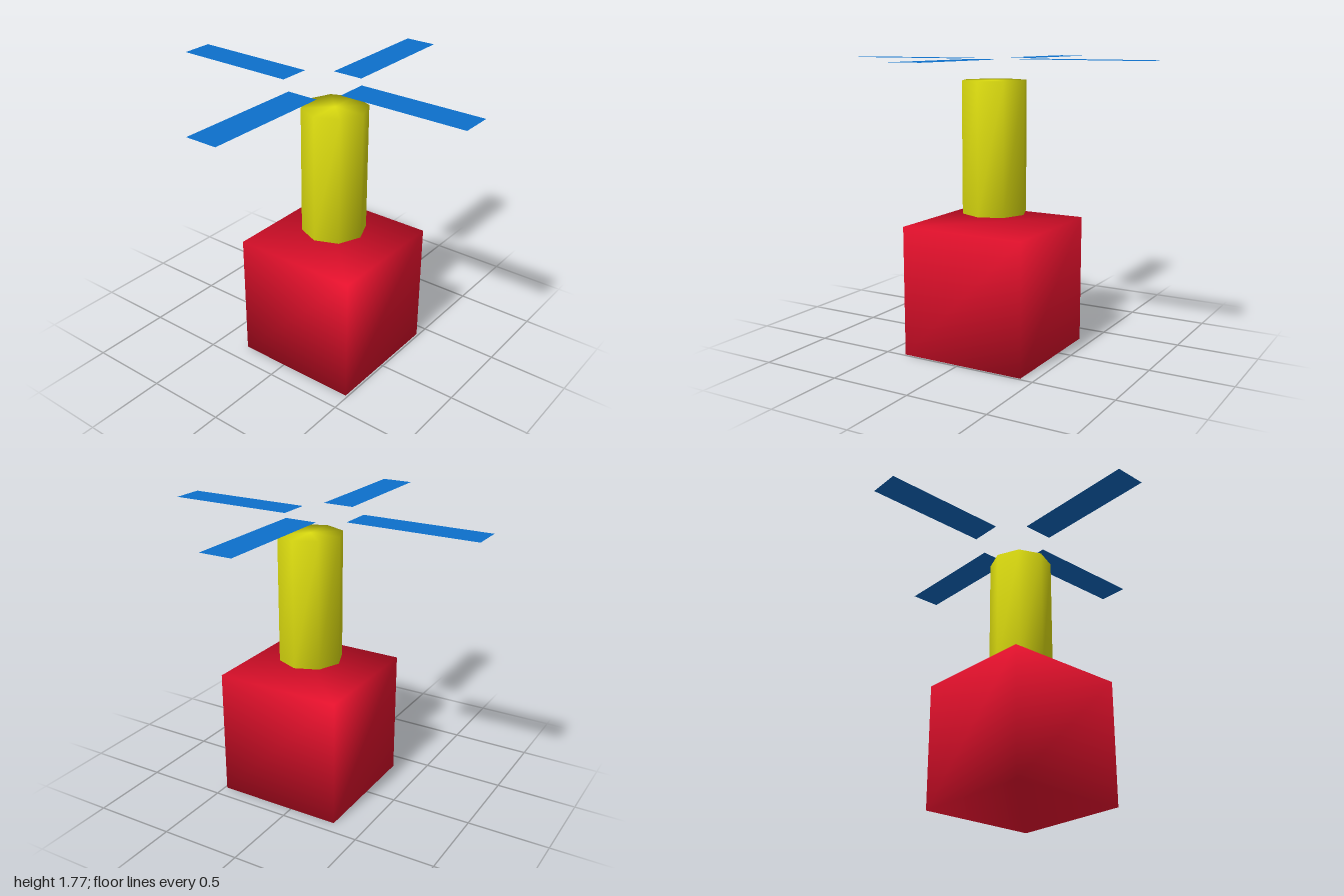
import * as THREE from 'three';
import { mergeVertices } from 'three/addons/utils/BufferGeometryUtils.js';

// Weld corners so normals blend across the edges
function welded(geometry) {
  geometry.deleteAttribute('normal');
  geometry.deleteAttribute('uv');
  const g = mergeVertices(geometry, 1e-4);
  g.computeVertexNormals();
  return g;
}

export function createModel() {
  const model = new THREE.Group();
  const add = (name, geometry, material, x, y, z) => {
    const mesh = new THREE.Mesh(geometry, material);
    mesh.name = name;
    mesh.position.set(x, y, z);
    model.add(mesh);
    return mesh;
  };
  const red = new THREE.MeshStandardMaterial({ color: 0xe8112d });
  const yellow = new THREE.MeshStandardMaterial({ color: 0xe0e010 });
  const blue = new THREE.MeshStandardMaterial({ color: 0x0d70cc, side: THREE.DoubleSide });

  // Cube body
  const size = 0.792;
  add('body', welded(new THREE.BoxGeometry(size, size, size)), red, 0.02, size / 2, 0.09);

  // Eight-sided mast floating above the body
  add('mast', welded(new THREE.CylinderGeometry(0.198, 0.198, 0.792, 8)), yellow, 0.02, 1.25, 0.09);

  // Four flat rotor blades at one height
  const length = 0.792, width = 0.198, height = 1.77;
  const blades = [
    ['leftBlade', length, width, 0.604, 0.036],
    ['rightBlade', length, width, -0.604, 0.036],
    ['frontBlade', width, length, 0.02, 0.598],
    ['backBlade', width, length, 0.02, -0.604],
  ];
  for (const [name, w, d, x, z] of blades) {
    add(name, new THREE.PlaneGeometry(w, d).rotateX(-Math.PI / 2), blue, x, height, z);
  }
  return model;
}
